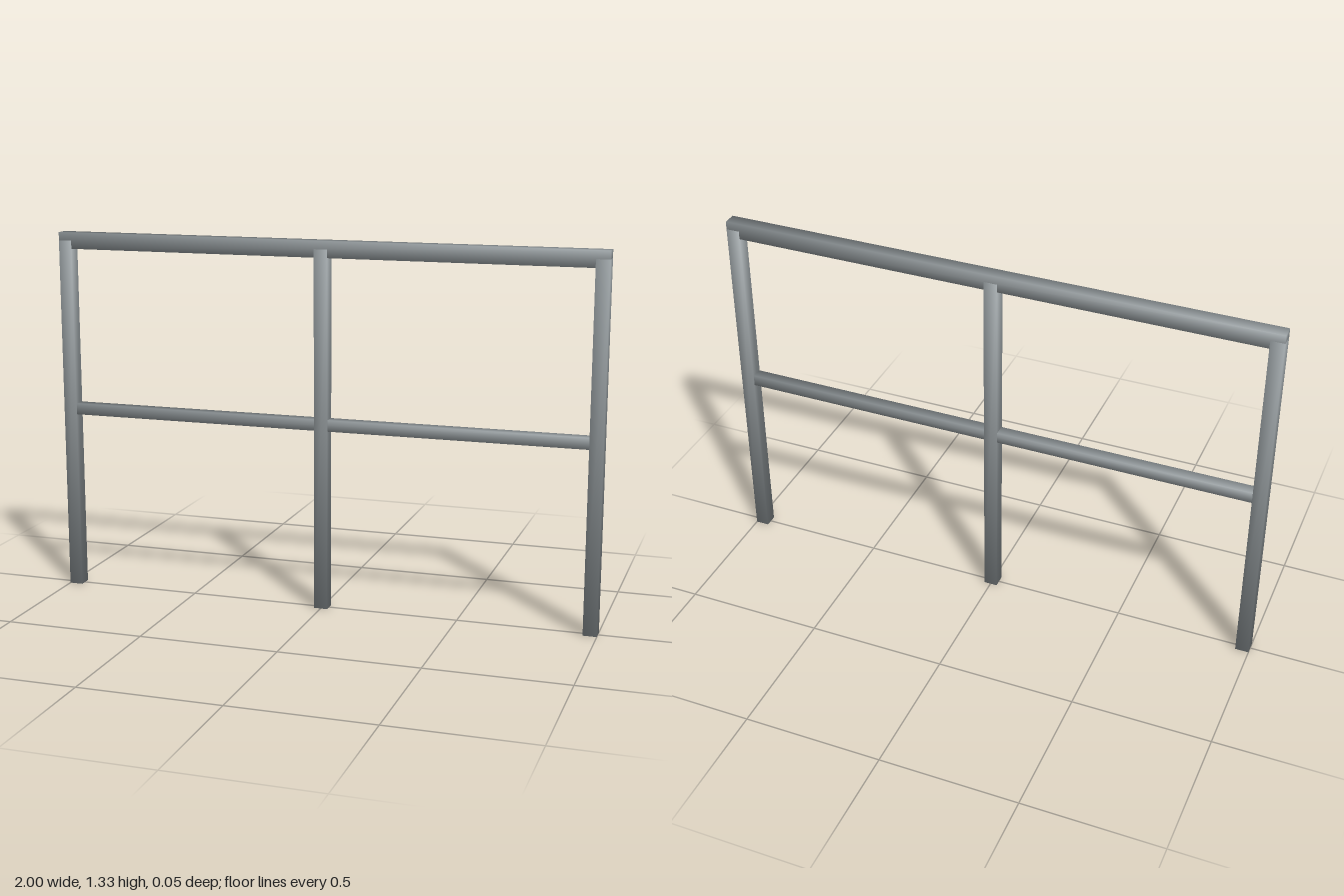
import * as THREE from 'three';

const material = new THREE.MeshStandardMaterial({ color: 0x90979a });

// Box bar whose normals point out through its corners, for soft shading
function bar(name, w, h, d, x, y, z = 0) {
  const geo = new THREE.BoxGeometry(w, h, d);
  const pos = geo.attributes.position;
  const n = new THREE.Vector3();
  for (let i = 0; i < pos.count; i++) {
    n.set(Math.sign(pos.getX(i)), Math.sign(pos.getY(i)), Math.sign(pos.getZ(i))).normalize();
    geo.attributes.normal.setXYZ(i, n.x, n.y, n.z);
  }
  const mesh = new THREE.Mesh(geo, material);
  mesh.name = name;
  mesh.position.set(x, y, z);
  return mesh;
}

export function createModel() {
  const group = new THREE.Group();
  group.name = 'railing';
  const postSize = 0.049, postHeight = 1.302, postX = 1 - postSize / 2;

  // Three upright posts
  group.add(bar('rightPost', postSize, postHeight, postSize, -postX, postHeight / 2));
  group.add(bar('middlePost', postSize, postHeight, postSize, 0, postHeight / 2));
  group.add(bar('leftPost', postSize, postHeight, postSize, postX, postHeight / 2));

  // Top rail, lapping over the post tops and practically flush with them
  group.add(bar('topRail', 1.9998, 0.059, postSize - 0.0002, 0, 1.302));

  // Thinner rail halfway up, running between the outer posts
  group.add(bar('midRail', 2 * postX, 0.041, 0.041, 0, 0.678));

  return group;
}
